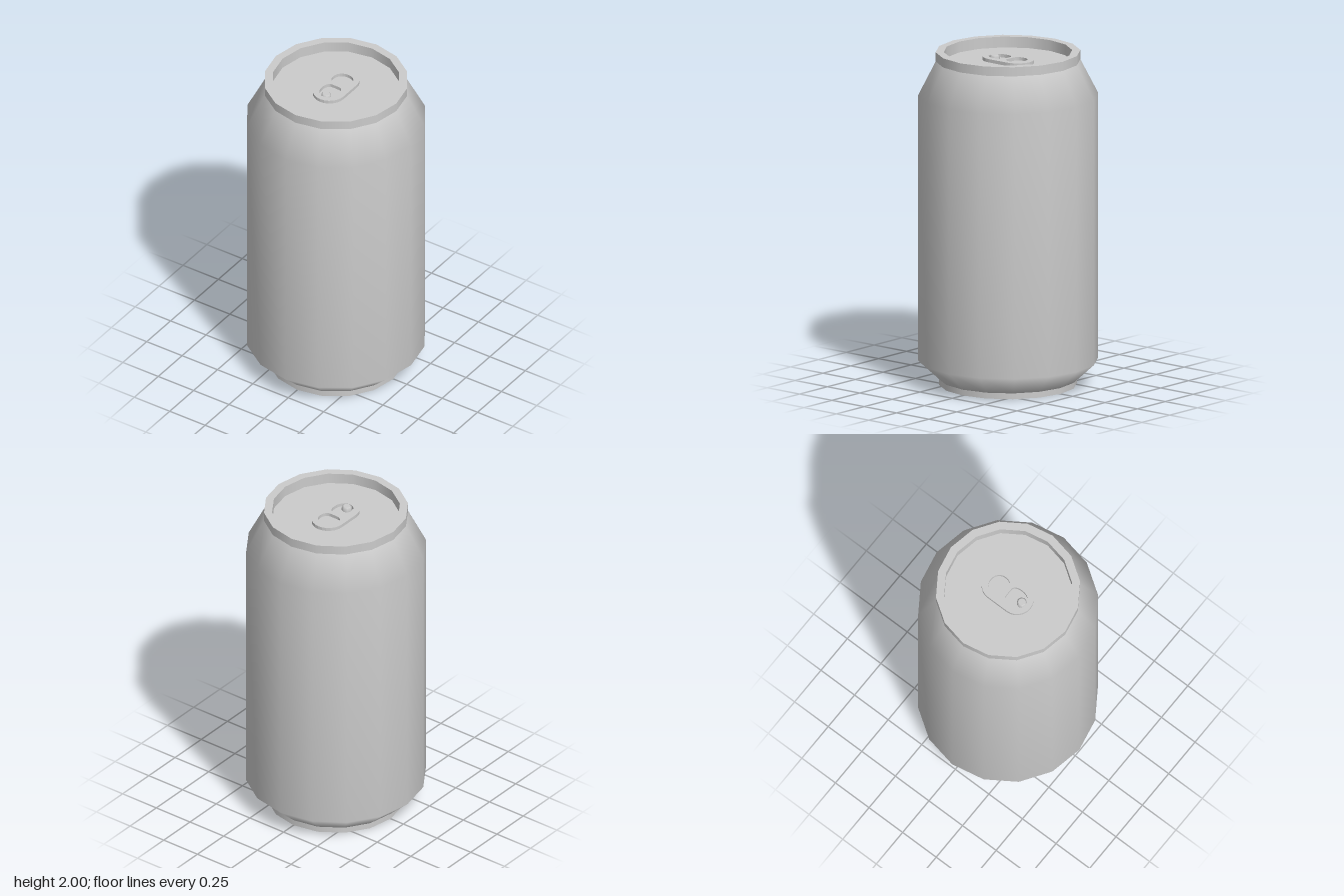
import * as THREE from 'three';

const SIDES = 16;
const LID_Y = 1.935;

export function createModel() {
  const can = new THREE.Group();
  can.name = 'drinkCan';
  const material = new THREE.MeshStandardMaterial({ color: 0xcccccc });

  const add = (name, geometry, parent = can) => {
    const mesh = new THREE.Mesh(geometry, material);
    mesh.name = name;
    parent.add(mesh);
    return mesh;
  };
  // Each profile is smooth within itself and creased against its neighbours
  const lathe = (name, profile, sides = SIDES, parent = can) =>
    add(name, new THREE.LatheGeometry(profile.map(([r, y]) => new THREE.Vector2(r, y)), sides), parent);

  // Shell, from the centre of the base round to the centre of the lid
  lathe('baseDome', [[0, 0.06], [0.28, 0.05], [0.385, 0]]);
  lathe('baseRim', [[0.385, 0], [0.405, 0]]);
  lathe('baseBand', [[0.405, 0], [0.405, 0.035]]);
  lathe('body', [[0.405, 0.035], [0.53, 0.15], [0.53, 1.74], [0.425, 1.945]]);
  lathe('rimOuterWall', [[0.425, 1.945], [0.425, 2]]);
  lathe('rimTop', [[0.425, 2], [0.377, 2]]);
  lathe('rimInnerWall', [[0.377, 2], [0.377, LID_Y]]);
  lathe('lid', [[0.377, LID_Y], [0, LID_Y]]);

  // Pull tab: a rounded plate with two D-shaped holes, drawn in x and z
  const opener = new THREE.Group();
  opener.name = 'opener';
  can.add(opener);

  const w = 0.098, back = -0.17, front = 0.165;
  const plate = new THREE.Shape();
  plate.moveTo(w, back + w);
  plate.lineTo(w, front - w);
  plate.absarc(0, front - w, w, 0, Math.PI);
  plate.lineTo(-w, back + w);
  plate.absarc(0, back + w, w, Math.PI, Math.PI * 2);

  const dHole = (flatZ, midZ, farZ, halfWidth) => {
    const hole = new THREE.Path();
    const k = midZ + (farZ - midZ) * 0.6;
    hole.moveTo(-0.035, flatZ);
    hole.quadraticCurveTo(0, flatZ + (flatZ - midZ) * 0.06, 0.035, flatZ);
    hole.quadraticCurveTo(halfWidth, flatZ + (midZ - flatZ) * 0.25, halfWidth, midZ);
    hole.bezierCurveTo(halfWidth, k, halfWidth * 0.6, farZ, 0, farZ);
    hole.bezierCurveTo(-halfWidth * 0.6, farZ, -halfWidth, k, -halfWidth, midZ);
    hole.quadraticCurveTo(-halfWidth, flatZ + (midZ - flatZ) * 0.25, -0.035, flatZ);
    return hole;
  };
  plate.holes.push(dHole(-0.019, -0.066, -0.128, 0.064), dHole(0.006, 0.06, 0.132, 0.058));

  const tabGeometry = new THREE.ExtrudeGeometry(plate, { depth: 0.02, bevelEnabled: false, curveSegments: 6 });
  tabGeometry.rotateX(Math.PI / 2);
  add('pullTab', tabGeometry, opener).position.y = LID_Y + 0.024;

  // Rivet fixing the tab to the lid
  const rivet = new THREE.Group();
  rivet.name = 'rivet';
  rivet.position.set(0, LID_Y, 0.103);
  opener.add(rivet);
  lathe('rivetSide', [[0.03, 0], [0.03, 0.02], [0.022, 0.028]], 8, rivet);
  lathe('rivetTop', [[0.022, 0.028], [0, 0.028]], 8, rivet);

  return can;
}
